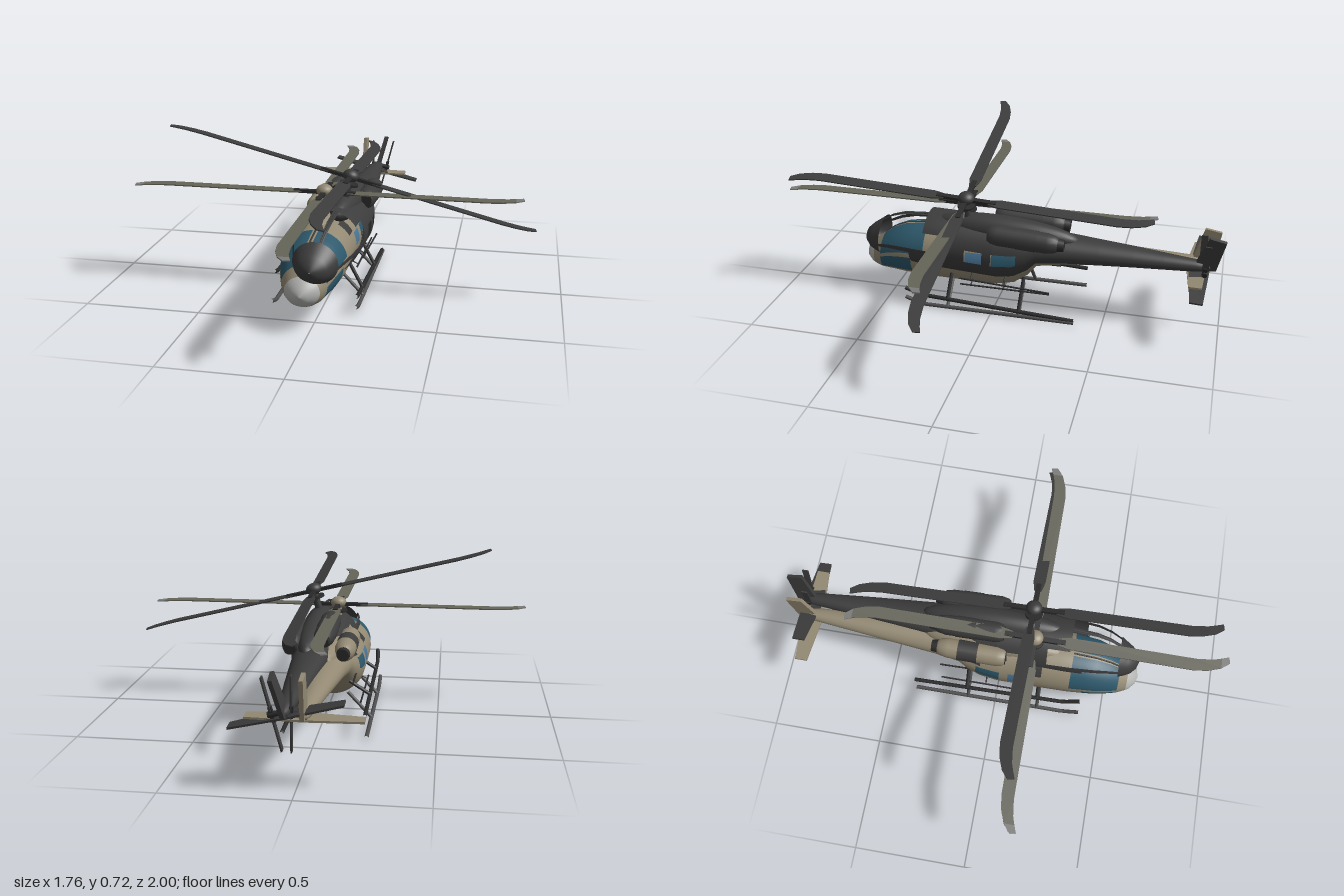
import * as THREE from 'three';

const mat = (name, color, side = THREE.FrontSide) => {
  const m = new THREE.MeshStandardMaterial({ color, side });
  m.name = name;
  return m;
};
const tan = mat('tan paint', 0x928872, THREE.DoubleSide);
const charcoal = mat('charcoal paint', 0x3c3c3c, THREE.DoubleSide);
const olive = mat('olive blades', 0x656459);
const glass = mat('blue glass', 0x2d586b, THREE.DoubleSide);
const sideGlass = mat('bright side glass', 0x4a7596, THREE.DoubleSide);
const grey = mat('light grey nose', 0xb2b2b0, THREE.DoubleSide);
const tipGrey = mat('grey blade tips', 0x7a7a78);
const metal = mat('grey metal', 0x4e4e4e);
const black = mat('black metal', 0x2b2b2c);

const add = (parent, name, geo, material, x = 0, y = 0, z = 0) => {
  const m = new THREE.Mesh(geo, material);
  m.name = name;
  m.position.set(x, y, z);
  parent.add(m);
  return m;
};

const rod = (parent, name, points, r, material) => {
  const path = new THREE.CurvePath();
  const p = points.map(a => new THREE.Vector3(...a));
  for (let i = 1; i < p.length; i++) path.add(new THREE.LineCurve3(p[i - 1], p[i]));
  add(parent, name, new THREE.TubeGeometry(path, 24, r, 8), material);
};

// Fuselage sections: z, centre height, half width, half height
const SECTIONS = [
  [0.64, 0.165, 0.002, 0.002], [0.63, 0.165, 0.036, 0.032], [0.605, 0.167, 0.065, 0.055],
  [0.575, 0.172, 0.082, 0.073], [0.55, 0.18, 0.095, 0.086], [0.5, 0.197, 0.112, 0.105],
  [0.44, 0.207, 0.126, 0.12], [0.33, 0.212, 0.136, 0.13], [0.2, 0.213, 0.138, 0.133],
  [0, 0.213, 0.138, 0.132], [-0.08, 0.22, 0.13, 0.122], [-0.14, 0.24, 0.115, 0.098],
  [-0.18, 0.262, 0.098, 0.07], [-0.3, 0.27, 0.082, 0.058], [-0.6, 0.283, 0.055, 0.04],
  [-0.86, 0.29, 0.03, 0.026], [-0.92, 0.29, 0.018, 0.018], [-0.93, 0.29, 0.002, 0.002],
];
const STATIONS = [0.59, 0.39, 0.27, 0.23, 0.13, 0.05, 0.01, -0.1, -0.24, -0.45, -0.73]
  .concat(SECTIONS.map(s => s[0])).sort((a, b) => b - a);

function sectionAt(z) {
  let i = 0;
  while (i < SECTIONS.length - 2 && z < SECTIONS[i + 1][0]) i++;
  const a = SECTIONS[i], b = SECTIONS[i + 1], k = (z - a[0]) / (b[0] - a[0]);
  return a.map((v, n) => v + (b[n] - v) * k);
}

// Paint zones, in order: body, cabin glazing, nose cap, side pane, dark patch, door panel
const ZONES = 6;
function zone(z, deg) {
  const a = deg > 180 ? 360 - deg : deg;
  const inside = (z0, z1, a0, a1) => z > z0 && z < z1 && a > a0 && a < a1;
  if (z > 0.59) return 2;
  if (inside(0.33, 0.55, 5, 80) || inside(0.39, 0.55, 90, 130)) return 1;
  if (inside(-0.1, 0.01, 65, 90)) return 1;
  if (inside(0.05, 0.13, 65, 90)) return 3;
  if (inside(0.13, 0.2, 30, 60) || inside(-0.14, -0.08, 30, 60)) return 4;
  return inside(0.23, 0.33, 45, 80) ? 5 : 0;
}

// Lofted skin with one geometry group per zone; a zone without a material stays open
function fuselage(skins) {
  const N = 72, pos = [], cells = Array.from({ length: ZONES }, () => []);
  STATIONS.forEach(z => {
    const [, yc, hw, hh] = sectionAt(z);
    for (let j = 0; j < N; j++) {
      const t = j / N * Math.PI * 2;
      pos.push(hw * Math.sin(t), yc + hh * Math.cos(t), z);
    }
  });
  for (let i = 0; i < STATIONS.length - 1; i++) for (let j = 0; j < N; j++) {
    const k = (j + 1) % N, a = i * N + j, b = i * N + k;
    cells[zone((STATIONS[i] + STATIONS[i + 1]) / 2, (j + 0.5) * 360 / N)]
      .push(a, b, a + N, b, b + N, a + N);
  }
  const geo = new THREE.BufferGeometry();
  geo.setAttribute('position', new THREE.Float32BufferAttribute(pos, 3));
  geo.setIndex(cells.flat());
  geo.computeVertexNormals();
  geo.setIndex(cells.filter((c, n) => skins[n]).flat());
  let start = 0;
  cells.forEach((c, n) => {
    if (!skins[n]) return;
    geo.addGroup(start, c.length, n);
    start += c.length;
  });
  return geo;
}

const plate = (pts, depth) => {
  const geo = new THREE.ExtrudeGeometry(new THREE.Shape(pts.map(p => new THREE.Vector2(...p))),
    { depth, bevelEnabled: false });
  return geo.translate(0, 0, -depth / 2);
};

function mainRotor(parent, bladeMat, tipMat, hubMat, R) {
  const rotor = new THREE.Group();
  rotor.name = 'mainRotor';
  rotor.position.set(0, 0.455, 0.15);
  parent.add(rotor);
  add(rotor, 'mast', new THREE.CylinderGeometry(0.014, 0.018, 0.13, 16), hubMat, 0, -0.055, 0);
  add(rotor, 'hub', new THREE.SphereGeometry(0.036, 20, 12), hubMat, 0, 0.008, 0).scale.y = 0.75;
  add(rotor, 'swashplate', new THREE.CylinderGeometry(0.04, 0.04, 0.01, 20), black, 0, -0.03, 0);
  // Blade and its swept tip
  const blade = plate([[-0.016, 0.1], [0.016, 0.1], [0.027, 0.15], [0.027, R - 0.14],
    [0.036, R - 0.07], [0.047, R - 0.035], [0.002, R - 0.035],
    [-0.018, R - 0.09], [-0.027, R - 0.15], [-0.027, 0.15]], 0.005).rotateX(Math.PI / 2);
  const tip = plate([[0.047, R - 0.035], [0.058, R - 0.005], [0.03, R], [0.002, R - 0.035]], 0.005)
    .rotateX(Math.PI / 2);
  for (let i = 0; i < 4; i++) {
    const arm = new THREE.Group();
    arm.name = 'bladeArm';
    arm.rotation.y = i * Math.PI / 2;
    rotor.add(arm);
    add(arm, 'blade', blade, bladeMat);
    add(arm, 'bladeTip', tip, tipMat);
    add(arm, 'bladeGrip', new THREE.BoxGeometry(0.022, 0.014, 0.12), black, 0, 0, 0.075);
  }
}

function helicopter({ body, skins, blade, tip, gear, radius }) {
  const h = new THREE.Group();
  add(h, 'fuselage', fuselage(skins), skins);

  // Windscreen centre frame and roof housing under the mast
  rod(h, 'windscreenFrame', [0.55, 0.5, 0.44, 0.33].map(z => {
    const [, yc, , hh] = sectionAt(z);
    return [0, yc + hh, z];
  }), 0.004, charcoal);
  const roof = add(h, 'roofHousing', new THREE.SphereGeometry(1, 28, 16), body, 0, 0.315, -0.03);
  roof.scale.set(0.065, 0.068, 0.33);

  const pod = new THREE.LatheGeometry([[0.028, -0.16], [0.038, -0.145], [0.045, -0.11],
    [0.046, 0.11], [0.04, 0.14], [0.033, 0.15]].map(p => new THREE.Vector2(...p)), 20);
  for (const s of [-1, 1]) {
    // Twin engines
    const engine = new THREE.Group();
    engine.name = 'engine';
    engine.position.set(s * 0.071, 0.34, -0.12);
    engine.rotation.x = Math.PI / 2;
    h.add(engine);
    add(engine, 'enginePod', pod, body);
    add(engine, 'engineBand', new THREE.CylinderGeometry(0.0475, 0.0475, 0.09, 20, 1, true), charcoal, 0, -0.02, 0);
    add(engine, 'intake', new THREE.CylinderGeometry(0.033, 0.033, 0.012, 20), black, 0, 0.146, 0);
    add(engine, 'exhaust', new THREE.CylinderGeometry(0.031, 0.026, 0.04, 16), black, 0, -0.165, 0);

    // Landing gear and side rails
    rod(h, 'skid', [[s * 0.18, 0.036, 0.4], [s * 0.18, 0.009, 0.32], [s * 0.18, 0.009, -0.38]], 0.009, gear);
    for (const z of [0.2, -0.13])
      rod(h, 'skidLeg', [[s * 0.075, 0.125, z], [s * 0.18, 0.012, z]], 0.008, gear);
    rod(h, 'sideRail', [[s * 0.142, 0.115, 0.15], [s * 0.142, 0.115, -0.26]], 0.004, black);
    for (const z of [0.1, -0.05])
      rod(h, 'railBracket', [[s * 0.1, 0.135, z], [s * 0.142, 0.115, z]], 0.003, black);
  }

  // Tail surfaces
  add(h, 'fin', plate([[0.86, 0.3], [0.905, 0.45], [0.975, 0.438], [0.95, 0.28], [0.88, 0.272]], 0.016)
    .rotateY(Math.PI / 2), body);
  add(h, 'stabilizer', plate([[-0.22, 0.915], [-0.22, 0.86], [0, 0.835], [0.22, 0.86], [0.22, 0.915],
    [0, 0.925]], 0.008).rotateX(-Math.PI / 2), body, 0, 0.273, 0);

  // Tail rotor
  const tail = new THREE.Group();
  tail.name = 'tailRotor';
  tail.position.set(0.045, 0.292, -0.905);
  h.add(tail);
  add(tail, 'tailRotorShaft', new THREE.CylinderGeometry(0.01, 0.012, 0.06, 12).rotateZ(Math.PI / 2), black, -0.015);
  for (const s of [-1, 1])
    add(tail, 'tailRotorBlade', new THREE.BoxGeometry(0.006, 0.13, 0.028), charcoal, 0, s * 0.08, 0);
  add(tail, 'tailRotorHub', new THREE.BoxGeometry(0.014, 0.06, 0.016), black);

  mainRotor(h, blade, tip, body, radius);
  return h;
}

export function createModel() {
  const model = new THREE.Group();

  // Level glazed aircraft
  const level = helicopter({ body: tan, skins: [tan, glass, grey, sideGlass, charcoal, tan],
    blade: olive, tip: tipGrey, gear: metal, radius: 0.85 });
  level.name = 'tanHelicopter';
  level.position.x = -0.03;
  model.add(level);

  // Banked aircraft with open window frames, turned about its rotor hub
  const banked = new THREE.Group();
  banked.name = 'charcoalHelicopter';
  banked.position.set(0.08, 0.52, 0.125);
  banked.rotation.set(-0.055, 0, -0.245);
  const inner = helicopter({ body: charcoal, skins: [charcoal, null, charcoal, null, charcoal, null],
    blade: charcoal, tip: charcoal, gear: black, radius: 0.82 });
  inner.name = 'charcoalAirframe';
  inner.position.set(0, -0.455, -0.15);
  banked.add(inner);
  model.add(banked);
  return model;
}
